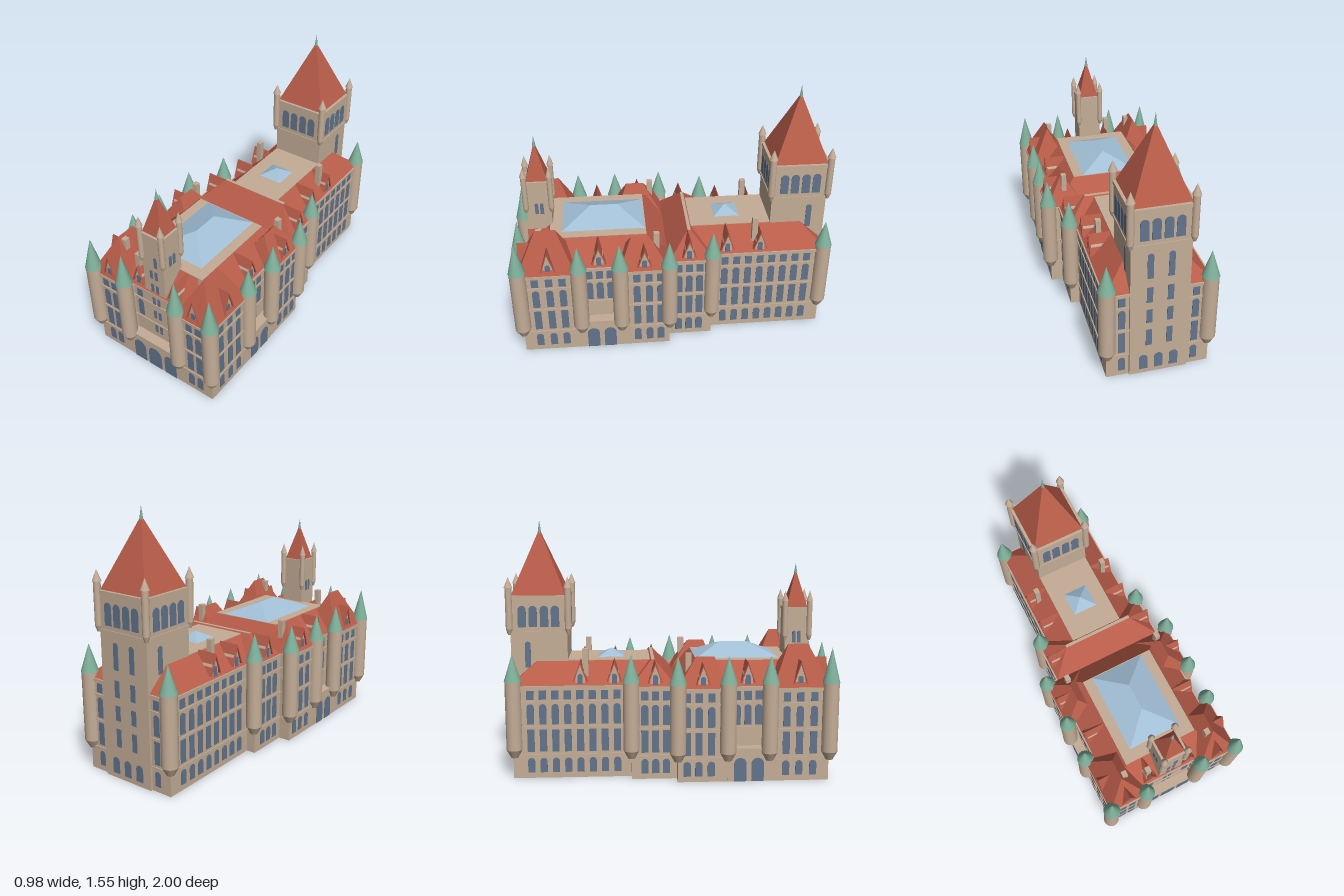
import * as THREE from 'three';
import { mergeGeometries } from 'three/addons/utils/BufferGeometryUtils.js';

export function createModel() {
  const model = new THREE.Group();
  const mat = (name, color) => {
    const m = new THREE.MeshStandardMaterial({ color, side: THREE.DoubleSide });
    m.name = name;
    return m;
  };
  const stone = mat('stone', 0xc4ad97), tile = mat('roof tile', 0xb85c49), copper = mat('green copper', 0x7fb09a);
  const pane = mat('window pane', 0x62748c), glass = mat('skylight glass', 0xa2bfd6);

  const add = (name, geo, material, parent = model) => {
    const m = new THREE.Mesh(geo, material);
    m.name = name;
    parent.add(m);
    return m;
  };
  const box = (name, x0, x1, y0, y1, z0, z1, m = stone) =>
    add(name, new THREE.BoxGeometry(x1 - x0, y1 - y0, z1 - z0).translate((x0 + x1) / 2, (y0 + y1) / 2, (z0 + z1) / 2), m);
  const place = (geo, x, y, z, ry) => geo.rotateY(ry).translate(x, y, z);

  // Band of quads between two closed loops of points
  const skirt = (low, high) => {
    const pos = [];
    low.forEach((a, i) => {
      const j = (i + 1) % low.length, b = low[j], c = high[j], d = high[i];
      pos.push(...a, ...b, ...c, ...a, ...c, ...d);
    });
    const g = new THREE.BufferGeometry();
    g.setAttribute('position', new THREE.Float32BufferAttribute(pos, 3));
    g.computeVertexNormals();
    return g;
  };
  const rect = ([x0, x1, z0, z1], y) => [[x0, y, z1], [x1, y, z1], [x1, y, z0], [x0, y, z0]];
  const hip = (name, base, y0, top, y1, m = tile) => add(name, skirt(rect(base, y0), rect(top, y1)), m);
  const flip = ([x0, x1, z0, z1], s) => (s > 0 ? [x0, x1, z0, z1] : [-x1, -x0, z0, z1]);

  // Outer walls following the stepped plan
  const half = [[0.17, 0.89], [0.17, 0.945], [0.437, 0.945], [0.437, 0.585], [0.38, 0.585], [0.38, 0.335],
    [0.437, 0.335], [0.437, 0.035], [0.362, 0.035], [0.362, -0.24], [0.305, -0.24], [0.305, -0.955]];
  const plan = [...half, ...half.map(([x, z]) => [-x, z]).reverse()];
  add('outerWalls', skirt(plan.map(([x, z]) => [x, 0, z]), plan.map(([x, z]) => [x, 0.57, z])), stone);

  // String courses and cornice: rings around the plan
  const outset = (d) => plan.map((p, i) => {
    const n = plan.length, a = plan[(i + n - 1) % n], b = plan[(i + 1) % n];
    const nx = -Math.sign(p[1] - a[1]) - Math.sign(b[1] - p[1]);
    const nz = Math.sign(p[0] - a[0]) + Math.sign(b[0] - p[0]);
    return [p[0] + d * nx, p[1] + d * nz];
  });
  const toV2 = (pts) => pts.map(([x, z]) => new THREE.Vector2(x, -z));
  for (const [y, h, d] of [[0.14, 0.01, 0.006], [0.312, 0.01, 0.006], [0.47, 0.01, 0.006], [0.555, 0.017, 0.011]]) {
    const ring = new THREE.Shape(toV2(outset(d)));
    ring.holes.push(new THREE.Path(toV2(plan)));
    add('stringCourse', new THREE.ExtrudeGeometry(ring, { depth: h, bevelEnabled: false }).rotateX(-Math.PI / 2).translate(0, y, 0), stone);
  }

  // Entrance porches
  box('frontPorch', -0.17, 0.17, 0, 0.205, 0.88, 0.946);
  box('frontPorchTrim', -0.17, 0.17, 0.19, 0.205, 0.9, 0.952);
  for (const s of [1, -1]) {
    const [x0, x1] = flip([0.37, 0.438, 0, 0], s);
    box('sidePorch', x0, x1, 0, 0.205, 0.335, 0.585);
    const [t0, t1] = flip([0.39, 0.444, 0, 0], s);
    box('sidePorchTrim', t0, t1, 0.19, 0.205, 0.335, 0.585);
  }

  // Windows as thin plates, merged into one mesh
  const panes = [];
  const win = (x, y, z, w, h, ry, arched) => {
    const s = new THREE.Shape();
    s.moveTo(-w / 2, 0).lineTo(w / 2, 0);
    if (arched) s.lineTo(w / 2, h - w / 2).absarc(0, h - w / 2, w / 2, 0, Math.PI);
    else s.lineTo(w / 2, h).lineTo(-w / 2, h);
    s.closePath();
    const g = new THREE.ExtrudeGeometry(s, { depth: 0.006, bevelEnabled: false, curveSegments: 6 });
    panes.push(place(g.translate(0, 0, -0.003), x, y, z, ry));
  };
  const rows = [[0.035, 0.09, 1], [0.165, 0.138, 0], [0.335, 0.125, 1], [0.488, 0.055, 0]];
  const wingZ = Array.from({ length: 8 }, (_, i) => -0.325 - i * 0.0745);
  for (const s of [1, -1]) {
    const side = s * Math.PI / 2;
    for (const [x, zs, from] of [[0.437, [0.85, 0.765, 0.685, 0.235, 0.16, 0.09], 0], [0.38, [0.525, 0.46, 0.395], 2],
      [0.362, [-0.03, -0.095, -0.16], 0], [0.305, wingZ, 0]])
      for (const z of zs) for (const [y, h, a] of rows.slice(from)) win(s * x, y, z, 0.043, h, side, a);
    for (const [y, h, a] of rows) {
      for (const x of [0.35, 0.285]) win(s * x, y, 0.945, 0.043, h, 0, a);
      win(s * 0.215, y, -0.955, 0.04, h, Math.PI, a);
    }
    for (const [y, h, a] of rows.slice(2)) win(s * 0.128, y, 0.89, 0.04, h, 0, a);
    for (const z of [0.515, 0.41]) win(s * 0.438, 0, z, 0.075, 0.145, side, 1);
    // Narrow pairs up the front tower
    for (const y of [0.245, 0.365, 0.475]) win(s * 0.018, y, 0.89, 0.02, 0.06, 0, 0);
    for (const y of [0.585, 0.69]) win(s * 0.018, y, 0.891, 0.02, 0.06, 0, 0);
    for (const z of [0.829, 0.797]) win(s * 0.075, 0.785, z, 0.022, 0.075, side, 1);
    // Great tower slits
    win(s * 0.172, 0.66, -0.867, 0.035, 0.16, side, 1);
    for (const [y, h] of [[0.2, 0.11], [0.36, 0.09], [0.5, 0.1], [0.66, 0.16]]) win(s * 0.06, y, -0.969, 0.035, h, Math.PI, y > 0.6);
  }
  for (const x of [-0.12, 0, 0.12]) win(x, 0, 0.946, x ? 0.09 : 0.1, 0.153, 0, 1);
  for (const x of [-0.09, 0, 0.09]) win(x, 0.03, -0.969, 0.05, 0.1, Math.PI, 1);
  win(0.02, 0.785, 0.891, 0.022, 0.075, 0, 1);
  for (let k = 0; k < 4; k++) for (const u of [-0.1, -0.034, 0.034, 0.1]) {
    const a = k * Math.PI / 2, d = 0.178;
    win(d * Math.sin(a) + u * Math.cos(a), 0.91, -0.797 + d * Math.cos(a) - u * Math.sin(a), 0.05, 0.13, a, 1);
  }

  // Mansard roofs, flat decks and skylights
  hip('frontBlockRoof', [-0.385, 0.385, 0.032, 0.9], 0.57, [-0.24, 0.24, 0.16, 0.755], 0.705);
  hip('middleRoof', [-0.367, 0.367, -0.245, 0.032], 0.57, [-0.23, 0.23, -0.115, -0.095], 0.712);
  hip('rearWingRoof', [-0.31, 0.31, -0.96, -0.12], 0.57, [-0.17, 0.17, -0.815, -0.12], 0.7);
  box('frontDeck', -0.24, 0.24, 0.698, 0.708, 0.16, 0.755);
  box('middleRidgeCap', -0.23, 0.23, 0.704, 0.714, -0.115, -0.095);
  box('rearDeck', -0.17, 0.17, 0.695, 0.705, -0.815, -0.1);
  hip('largeSkylight', [-0.175, 0.175, 0.165, 0.68], 0.708, [0, 0, 0.33, 0.5], 0.785, glass);
  hip('smallSkylight', [-0.08, 0.08, -0.44, -0.28], 0.705, [0, 0, -0.36, -0.36], 0.75, glass);
  for (const s of [1, -1]) {
    hip('frontPavilionRoof', flip([0.19, 0.445, 0.6, 0.952], s), 0.57, flip([0.315, 0.315, 0.71, 0.83], s), 0.815);
    hip('rearPavilionRoof', flip([0.2, 0.445, 0.032, 0.34], s), 0.57, flip([0.325, 0.325, 0.15, 0.26], s), 0.745);
  }

  // Gabled dormers with steep roofs running back into the slope
  const dormer = (x, z, ry, depth, peak = 0.715) => {
    const wall = new THREE.Shape([[-0.028, 0.57], [0.028, 0.57], [0.028, 0.64], [0, peak - 0.01], [-0.028, 0.64]]
      .map(([a, b]) => new THREE.Vector2(a, b)));
    add('dormerWall', place(new THREE.ExtrudeGeometry(wall, { depth: depth - 0.01, bevelEnabled: false }).translate(0, 0, -depth), x, 0, z, ry), stone);
    const gable = new THREE.Shape([[-0.045, 0.59], [0, peak], [0.045, 0.59], [0.039, 0.59], [0, peak - 0.018], [-0.039, 0.59]]
      .map(([a, b]) => new THREE.Vector2(a, b)));
    add('dormerRoof', place(new THREE.ExtrudeGeometry(gable, { depth, bevelEnabled: false }).translate(0, 0, -depth), x, 0, z, ry), tile);
    win(x - 0.009 * Math.sin(ry), 0.575, z - 0.009 * Math.cos(ry), 0.03, 0.065, ry, 1);
  };
  for (const s of [1, -1]) {
    for (const [x, z, d, p] of [[0.437, 0.765, 0.09, 0.73], [0.437, 0.185, 0.1], [0.38, 0.46, 0.13],
      [0.362, -0.095, 0.13], [0.305, -0.34, 0.13], [0.305, -0.545, 0.13]])
      dormer(s * x, z, s * Math.PI / 2, d, p);
    dormer(s * 0.315, 0.945, 0, 0.085, 0.735);
    dormer(s * 0.135, 0.89, 0, 0.13);
  }
  add('windows', mergeGeometries(panes), pane);

  // Chimneys
  for (const [x, z, top] of [[0.24, -0.515, 0.785], [-0.24, -0.515, 0.785], [0.32, 0.105, 0.765], [-0.32, 0.105, 0.765],
    [0.285, 0.81, 0.8], [-0.285, 0.81, 0.8], [-0.145, 0.85, 0.785]])
    box('chimney', x - 0.016, x + 0.016, 0.6, top, z - 0.018, z + 0.018);

  // Round turrets: tapered foot, shaft and conical cap
  const turret = (name, x, z, r, y0, y1, y2, y3, capMat, flare) => {
    const g = new THREE.Group();
    g.name = name;
    g.position.set(x, 0, z);
    const part = (n, rt, rb, a, b, m) => add(n, new THREE.CylinderGeometry(rt, rb, b - a, 16).translate(0, (a + b) / 2, 0), m, g);
    part('foot', r, r * 0.45, y0, y1, stone);
    part('shaft', r, r, y1, y2, stone);
    part('cap', 0, r + flare, y2, y3, capMat);
    model.add(g);
  };
  for (const s of [1, -1]) {
    for (const [x, z, top] of [[0.438, 0.947, 0.81], [0.195, 0.947, 0.81], [0.438, 0.585, 0.765], [0.438, 0.335, 0.765],
      [0.438, 0.035, 0.765], [0.355, -0.24, 0.765], [0.298, -0.947, 0.765]])
      turret('wallTurret', s * x, z, 0.049, 0.13, 0.18, 0.6, top, copper, 0.003);
    for (const t of [1, -1]) {
      turret('greatTowerTurret', s * 0.177, -0.796 + t * 0.178, 0.021, 0.865, 0.9, 1.15, 1.215, stone, 0.005);
      turret('frontTowerTurret', s * 0.077, 0.815 + t * 0.078, 0.017, 0.8, 0.83, 1.05, 1.115, stone, 0.004);
    }
  }

  // Square towers with pyramid roofs and finials
  const block = (name, h, z, y0, y1) => box(name, -h, h, y0, y1, z - h, z + h);
  const spire = (name, h, z, y0, y1, tip) => {
    hip(name + 'Roof', [-h, h, z - h, z + h], y0, [0, 0, z, z], y1);
    add(name + 'Finial', new THREE.ConeGeometry(0.011, tip - y1 + 0.025, 8).translate(0, (tip + y1 - 0.025) / 2, z), copper);
  };
  block('greatTowerShaft', 0.172, -0.797, 0, 0.88);
  block('greatTowerBelfry', 0.178, -0.797, 0.87, 1.1);
  block('greatTowerLowerCornice', 0.183, -0.797, 0.87, 0.885);
  block('greatTowerUpperCornice', 0.183, -0.797, 1.08, 1.102);
  spire('greatTower', 0.165, -0.797, 1.102, 1.5, 1.555);
  block('frontTowerShaft', 0.076, 0.815, 0.56, 1.01);
  block('frontTowerCornice', 0.08, 0.815, 0.99, 1.01);
  spire('frontTower', 0.066, 0.815, 1.01, 1.245, 1.285);

  return model;
}
